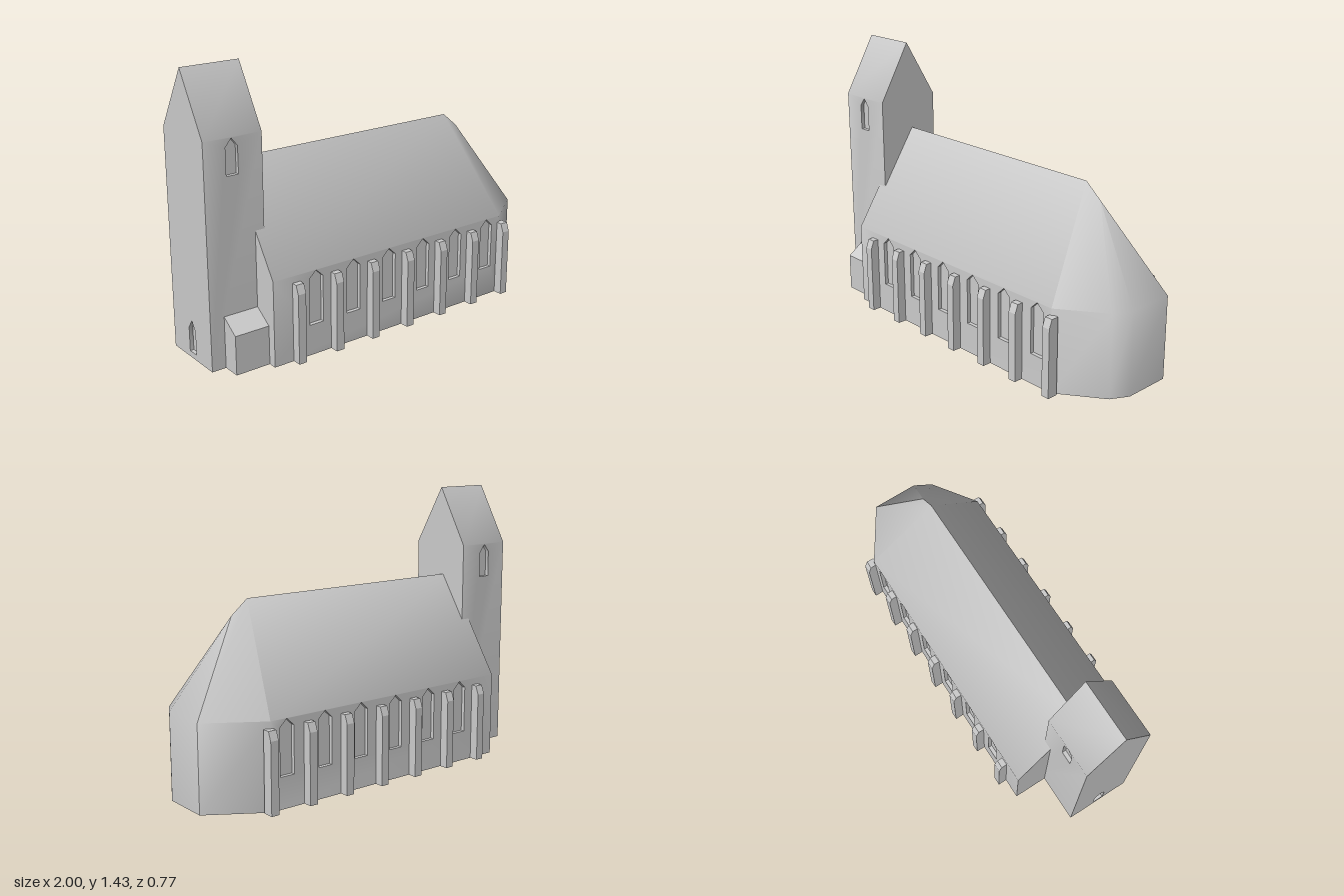
import * as THREE from 'three';
import { mergeGeometries, toCreasedNormals } from 'three/addons/utils/BufferGeometryUtils.js';

const CREASE = 0.78;

// Flat polygons (counter-clockwise corner lists), fan-triangulated
function faces(polys) {
  const pos = [];
  for (const p of polys) {
    for (let i = 1; i < p.length - 1; i++) pos.push(...p[0], ...p[i], ...p[i + 1]);
  }
  const g = new THREE.BufferGeometry();
  g.setAttribute('position', new THREE.Float32BufferAttribute(pos, 3));
  g.computeVertexNormals();
  return g;
}

function flatShape(shape, z = 0) {
  const g = new THREE.ShapeGeometry(shape).toNonIndexed();
  g.deleteAttribute('uv');
  return g.translate(0, 0, z);
}

const toShape = pts => new THREE.Shape(pts.map(p => new THREE.Vector2(...p)));

// Pointed opening outline
const pointed = (u, halfW, sill, spring, tip) => [
  [u - halfW, sill], [u + halfW, sill], [u + halfW, spring], [u, tip], [u - halfW, spring]];

// Wall facing +z with recessed openings, then turned and moved into place
function wall(outline, openings, turn, offset, depth = 0.02) {
  const shape = toShape(outline);
  const parts = [];
  for (const o of openings) {
    shape.holes.push(toShape(o));
    parts.push(flatShape(toShape(o), -depth));
    parts.push(faces(o.map((p, i) => {
      const q = o[(i + 1) % o.length];
      return [[...p, 0], [...q, 0], [...q, -depth], [...p, -depth]];
    })));
  }
  parts.push(flatShape(shape));
  return mergeGeometries(parts).rotateY(turn).translate(...offset);
}

const rect = (x0, x1, y1) => [[x0, 0], [x1, 0], [x1, y1], [x0, y1]];

// Side profile (z, y) extruded along x, centred on x = 0
function slab(profile, width) {
  return new THREE.ExtrudeGeometry(toShape(profile), { depth: width, bevelEnabled: false })
    .rotateY(-Math.PI / 2).translate(width / 2, 0, 0);
}

function naveGeometry() {
  const W = -0.74, S = 0.72, Z = 0.34, E = 0.44, TOP = 0.955;
  // Plan outline, running round the apse
  const plan = [[W, Z], [S, Z], [0.95, 0.18], [1, 0.09], [1, -0.16], [S, -Z], [W, -Z]];
  const at = y => plan.map(([x, z]) => [x, y, z]);
  const low = at(0);
  const [A, B, C, D, F, G, H] = at(E);
  const high = [A, B, C, D, F, G, H];
  const r0 = [W, TOP, 0], r1 = [0.61, TOP, 0], tip = [0.70, 0.88, 0];
  const roof = [[A, B, r1, r0], [B, tip, r1], [B, C, tip], [C, D, tip], [D, F, tip],
    [F, G, r1, tip], [G, H, r0, r1]];
  const apse = [1, 2, 3, 4].map(i => [low[i], low[i + 1], high[i + 1], high[i]]);
  const gable = [low[6], low[0], A, r0, H];
  const windows = sign => Array.from({ length: 6 }, (_, i) =>
    pointed(sign * (-0.495 + i * 0.2245), 0.04, 0.16, 0.4, 0.438));
  return toCreasedNormals(mergeGeometries([
    faces([...roof, ...apse, gable, [...low].reverse()]),
    wall(rect(W, S, E), windows(1), 0, [0, 0, Z]),
    wall(rect(-S, -W, E), windows(-1), Math.PI, [0, 0, -Z]),
  ]), CREASE);
}

function towerGeometry() {
  const x0 = -1, x1 = -0.69, z0 = -0.155, z1 = 0.2, E = 1.125, TOP = 1.43;
  const zm = (z0 + z1) / 2;
  const window = u => pointed(u, 0.032, 0.945, 1.08, 1.12);
  const gable = (a, b) => [[a, 0], [b, 0], [b, E], [(a + b) / 2, TOP], [a, E]];
  return toCreasedNormals(mergeGeometries([
    wall(rect(x0, x1, E), [window(-0.852)], 0, [0, 0, z1]),
    wall(rect(-x1, -x0, E), [window(0.852)], Math.PI, [0, 0, z0]),
    wall(gable(z0, z1), [pointed(zm, 0.03, 0.03, 0.155, 0.2)], -Math.PI / 2, [x0, 0, 0]),
    wall(gable(-z1, -z0), [], Math.PI / 2, [x1, 0, 0]),
    faces([
      [[x0, E, z1], [x1, E, z1], [x1, TOP, zm], [x0, TOP, zm]],
      [[x1, E, z0], [x0, E, z0], [x0, TOP, zm], [x1, TOP, zm]],
      [[x0, 0, z0], [x1, 0, z0], [x1, 0, z1], [x0, 0, z1]],
    ]),
  ]), CREASE);
}

export function createModel() {
  const model = new THREE.Group();
  model.name = 'church';
  const stone = new THREE.MeshStandardMaterial({ color: 0xcccccc });
  stone.name = 'pale grey stone';

  const add = (name, geometry) => {
    const mesh = new THREE.Mesh(geometry, stone);
    mesh.name = name;
    model.add(mesh);
    return mesh;
  };

  add('nave', naveGeometry());
  add('tower', towerGeometry());

  // Lean-to beside the tower
  add('annex', slab([[0.19, 0], [0.295, 0], [0.295, 0.2], [0.2, 0.265], [0.19, 0.265]], 0.19))
    .position.x = -0.83;

  // Buttresses between the windows, on both sides
  const buttress = slab([[0.33, 0], [0.387, 0], [0.387, 0.36], [0.37, 0.405], [0.33, 0.405]], 0.044);
  for (let i = 0; i < 7; i++) {
    for (const turn of [0, Math.PI]) {
      const mesh = add(turn ? 'backButtress' : 'frontButtress', buttress);
      mesh.rotation.y = turn;
      mesh.position.x = -0.61 + i * 0.2235;
    }
  }
  return model;
}
